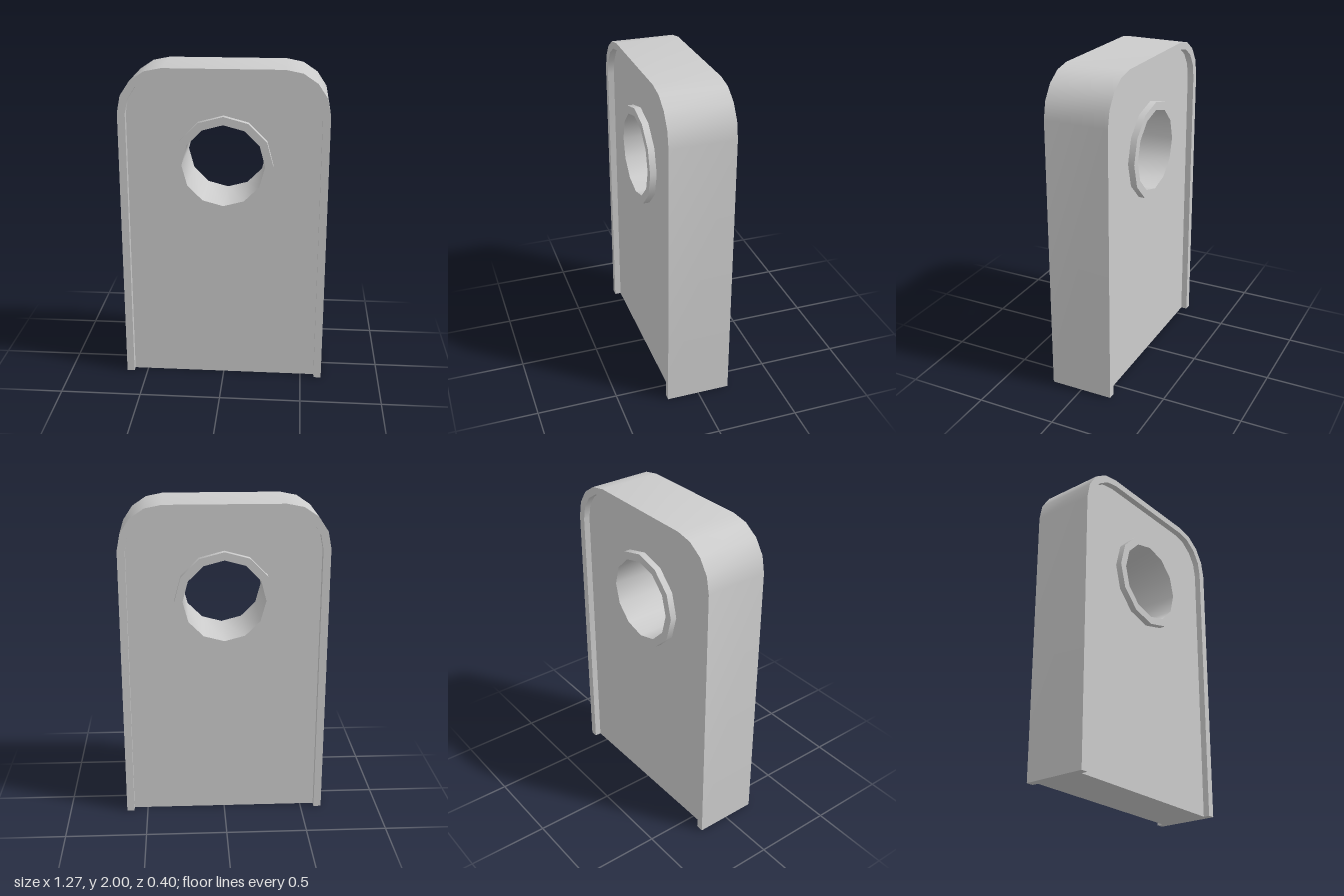
import * as THREE from 'three';
import { toCreasedNormals } from 'three/addons/utils/BufferGeometryUtils.js';

const material = new THREE.MeshStandardMaterial({ color: 0xcccccc });
const DEPTH = 0.4, RECESS = 0.04;
const HOLE_Y = 1.413, HOLE_R = 0.253, RING_R = 0.303;

// Points of an arc, running counter-clockwise
function arc(cx, cy, r, start, sweep, segments, closed = false) {
  const points = [];
  for (let i = 0; i < segments + (closed ? 0 : 1); i++) {
    const a = start + (sweep * i) / segments;
    points.push(new THREE.Vector2(cx + r * Math.cos(a), cy + r * Math.sin(a)));
  }
  return points;
}

// Slab outline with two rounded top corners, from bottom right to bottom left
function archOutline(halfWidth, height, r) {
  return [
    new THREE.Vector2(halfWidth, 0),
    ...arc(halfWidth - r, height - r, r, 0, Math.PI / 2, 4),
    ...arc(r - halfWidth, height - r, r, Math.PI / 2, Math.PI / 2, 4),
    new THREE.Vector2(-halfWidth, 0),
  ];
}

const circle = (r) => arc(0, HOLE_Y, r, 0, Math.PI * 2, 12, true);

// Extrusion centred on z = 0, smooth round the curves and sharp at the edges
function plate(name, outline, depth, hole) {
  const shape = new THREE.Shape(outline);
  if (hole) shape.holes.push(new THREE.Path(hole));
  const geometry = new THREE.ExtrudeGeometry(shape, { depth, bevelEnabled: false });
  geometry.translate(0, 0, -depth / 2);
  const mesh = new THREE.Mesh(toCreasedNormals(geometry, 0.65), material);
  mesh.name = name;
  return mesh;
}

export function createModel() {
  const model = new THREE.Group();
  model.name = 'plateWithHole';

  const outer = archOutline(0.634, 2, 0.27);
  const inner = archOutline(0.587, 1.957, 0.232);

  // Raised rim along the sides and top, open at the bottom
  model.add(plate('rim', [...outer, ...inner.slice().reverse()], DEPTH));
  // Panel sunk below the rim on both faces
  model.add(plate('panel', inner, DEPTH - 2 * RECESS, circle(RING_R)));
  // Collar round the through hole, level with the rim
  model.add(plate('holeCollar', circle(RING_R), DEPTH, circle(HOLE_R)));

  return model;
}
